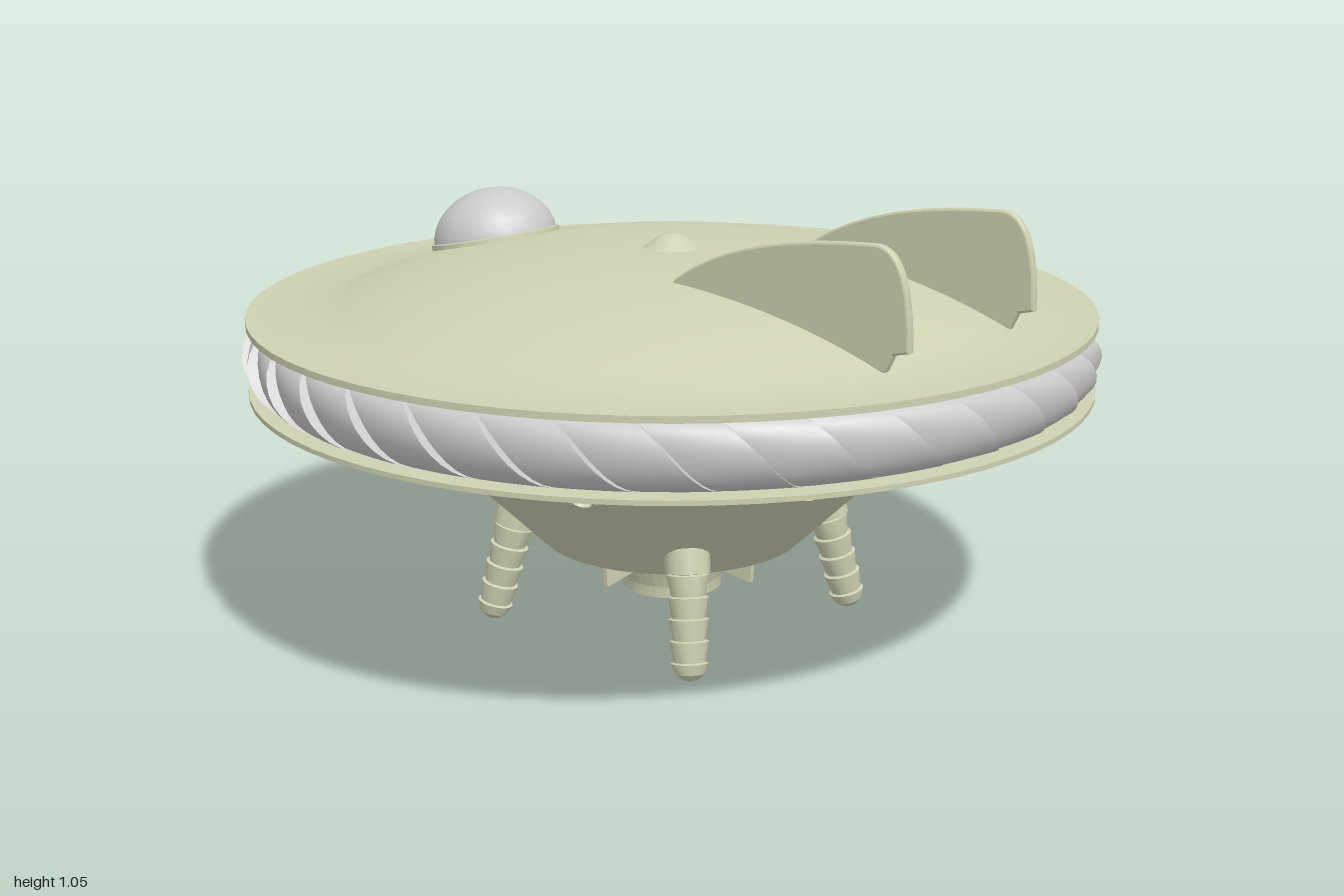
import * as THREE from 'three';
import { toCreasedNormals } from 'three/addons/utils/BufferGeometryUtils.js';
import { ParametricGeometry } from 'three/addons/geometries/ParametricGeometry.js';

const hullMat = new THREE.MeshStandardMaterial({ color: 0xcfd1b2, side: THREE.DoubleSide });
const greyMat = new THREE.MeshStandardMaterial({ color: 0xcccccc, side: THREE.DoubleSide });

function mesh(name, geo, mat = hullMat) {
  const m = new THREE.Mesh(geo, mat);
  m.name = name;
  return m;
}

// Revolved profile, listed from the bottom up, with sharp edges kept
function lathe(points, segments) {
  const geo = new THREE.LatheGeometry(points.map(p => new THREE.Vector2(...p)), segments);
  return toCreasedNormals(geo, 0.45);
}

// Calls make() for each spot round the hull; local +x points outward
function around(parent, count, offset, make) {
  for (let i = 0; i < count; i++) {
    const pivot = new THREE.Group();
    pivot.rotation.y = offset + (i / count) * Math.PI * 2;
    pivot.add(make());
    parent.add(pivot);
  }
}

function place(obj, radius, y, tilt) {
  obj.position.set(radius, y, 0);
  obj.rotation.z = tilt;
  return obj;
}

export function createModel() {
  const model = new THREE.Group();
  model.name = 'flyingSaucer';

  // Upper plate, shallow dome and centre knob
  const top = [[0.88, 0.77], [0.99, 0.77], [0.99, 0.785], [0.83, 0.785]];
  for (let i = 1; i <= 14; i++) {
    const r = 0.83 * (1 - i / 14);
    top.push([r, 0.915 - 0.13 * Math.pow(r / 0.83, 2.6)]);
  }
  model.add(mesh('upperHull', lathe(top, 72)));
  model.add(mesh('topKnob', lathe(
    [[0.085, 0.908], [0.06, 0.918], [0.04, 0.935], [0.022, 0.946], [0, 0.95]], 20)));

  // Lower plate and inverted cone
  model.add(mesh('lowerHull', lathe([
    [0, 0.215], [0.315, 0.215], [0.325, 0.225], [0.66, 0.555], [0.68, 0.56],
    [0.99, 0.604], [0.99, 0.615], [0.88, 0.615]], 72)));

  // Ring of slanted overlapping blades between the plates
  const blades = 36, step = (Math.PI * 2) / blades;
  const blade = new ParametricGeometry((u, v, target) => {
    const a = (v - 0.5) * Math.PI;
    const t = Math.min(u / 0.875, 1);
    const lift = (u > 0.99 ? 0 : t) * 0.024 * Math.cos(a);
    const r = 0.905 + (0.072 + lift) * Math.pow(Math.cos(a * 0.98), 0.6);
    const angle = (t - 1.3 * (v - 0.5)) * step;
    target.set(Math.sin(angle) * r, 0.6925 + 0.079 * Math.sin(a), Math.cos(angle) * r);
  }, 8, 12);
  const bladeGeo = toCreasedNormals(blade, 0.7);
  const ring = new THREE.Group();
  ring.name = 'bladeRing';
  around(ring, blades, 0, () => mesh('blade', bladeGeo, greyMat));
  model.add(ring);

  // Round windows on the underside
  const rimGeo = new THREE.TorusGeometry(0.057, 0.01, 8, 24).rotateX(Math.PI / 2);
  const glassGeo = new THREE.SphereGeometry(0.056, 20, 8).scale(1, 0.12, 1);
  around(model, 16, 0, () => {
    const port = new THREE.Group();
    port.name = 'undersideWindow';
    port.add(mesh('windowRim', rimGeo), mesh('windowGlass', glassGeo, greyMat));
    return place(port, 0.82, 0.58, 0.14);
  });

  // Open pipes on the cone, pointing out and down
  const pipeGeo = lathe([[0.024, 0.02], [0.024, -0.05], [0.036, -0.05], [0.036, 0.04]], 16);
  around(model, 8, Math.PI / 8, () => place(mesh('conePipe', pipeGeo), 0.615, 0.525, 0.8));

  // Ribbed legs with rounded feet
  const leg = [[0, 0], [0.018, 0.005], [0.034, 0.018], [0.043, 0.042]];
  for (let i = 0; i < 4; i++) {
    const y = 0.045 + i * 0.05;
    leg.push([0.036 + i * 0.001, y], [0.045 + i * 0.001, y + 0.047]);
  }
  leg.push([0.041, 0.245], [0.052, 0.247], [0.052, 0.305], [0.035, 0.318], [0, 0.32]);
  const legGeo = lathe(leg, 20);
  around(model, 4, Math.PI / 4, () => place(mesh('leg', legGeo), 0.442, 0.004, 0.25));

  // Hollow thruster nozzle with four fins
  model.add(mesh('nozzle', lathe([
    [0, 0.17], [0.09, 0.16], [0.1, 0.083], [0.12, 0.083], [0.12, 0.11], [0.17, 0.218]], 36)));
  const finShape = new THREE.Shape([[0.09, 0.22], [0.25, 0.22], [0.245, 0.138], [0.13, 0.152], [0.11, 0.16]]
    .map(p => new THREE.Vector2(...p)));
  const nozzleFinGeo = new THREE.ExtrudeGeometry(finShape, { depth: 0.012, bevelEnabled: false })
    .translate(0, 0, -0.006);
  around(model, 4, 0, () => mesh('nozzleFin', nozzleFinGeo));

  // Pair of tall fins; the shape's x axis runs along z
  const tail = new THREE.Shape();
  tail.moveTo(0.205, 0.9);
  tail.bezierCurveTo(0.34, 1.01, 0.55, 1.045, 0.745, 1.055);
  tail.bezierCurveTo(0.8, 1.055, 0.832, 0.99, 0.834, 0.84);
  tail.lineTo(0.795, 0.83);
  tail.lineTo(0.775, 0.79);
  tail.lineTo(0.6, 0.8);
  tail.lineTo(0.22, 0.88);
  const tailGeo = new THREE.ExtrudeGeometry(tail, {
    depth: 0.01, bevelThickness: 0.006, bevelSize: 0.005, bevelOffset: -0.005, bevelSegments: 2, curveSegments: 16,
  }).translate(0, 0, -0.005).rotateY(-Math.PI / 2);
  for (const side of [-1, 1]) {
    const fin = mesh(side > 0 ? 'leftFin' : 'rightFin', tailGeo);
    fin.position.x = side * 0.245;
    model.add(fin);
  }

  // Glass cockpit bubble with its collar, leaning with the hull
  const cockpit = new THREE.Group();
  cockpit.name = 'cockpit';
  cockpit.position.set(0, 0.862, -0.575);
  cockpit.rotation.x = -0.21;
  cockpit.add(
    mesh('cockpitCollar', lathe([[0.163, -0.04], [0.163, 0.008], [0.15, 0.012]], 20)),
    mesh('cockpitBubble', new THREE.SphereGeometry(0.157, 20, 8, 0, Math.PI * 2, 0, Math.PI / 2)
      .scale(1, 0.82, 1), greyMat));
  model.add(cockpit);

  return model;
}
